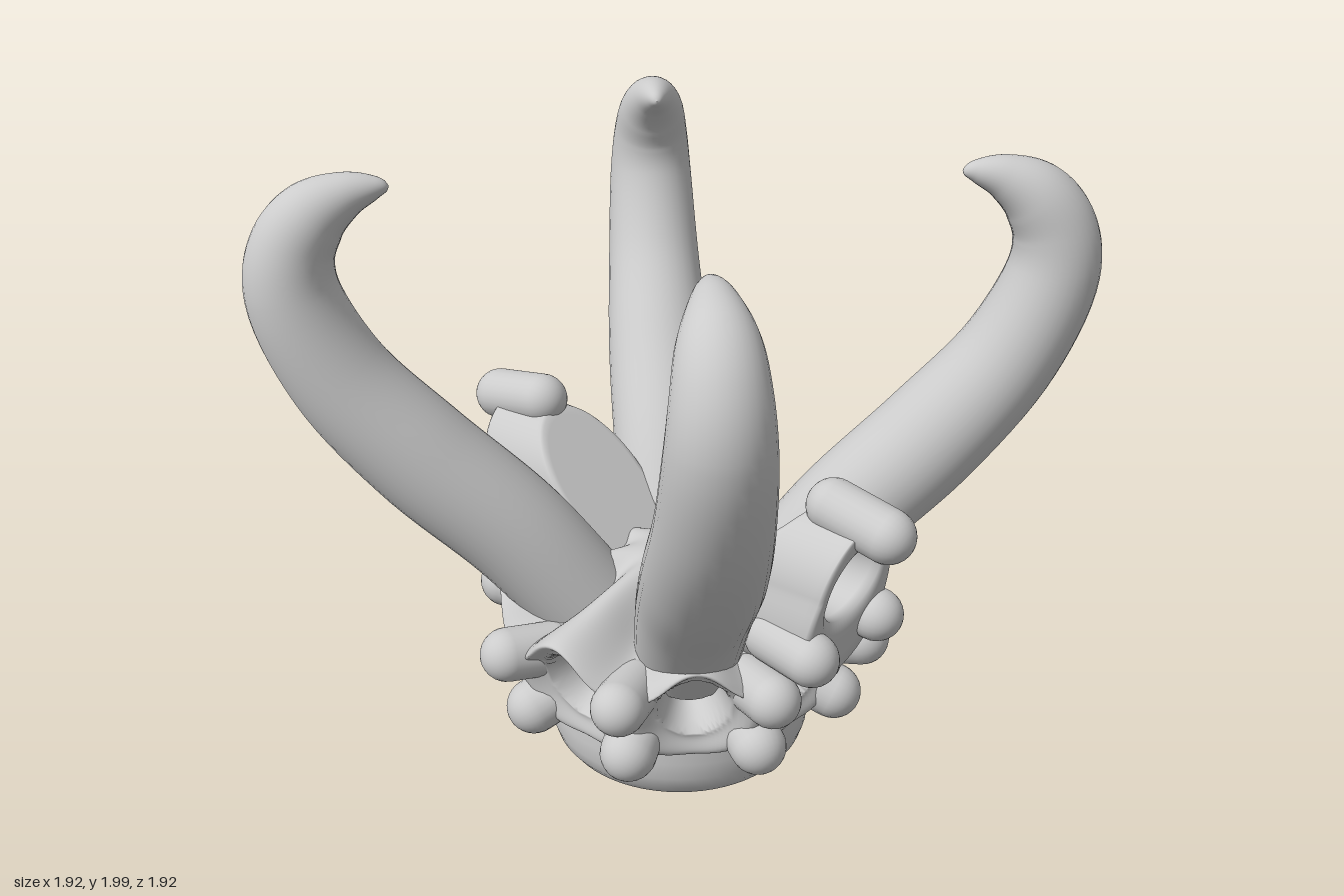
import * as THREE from 'three';

const mat = new THREE.MeshStandardMaterial({ color: 0xcccccc });
const step = THREE.MathUtils.smoothstep;

function mesh(name, geometry) {
  const m = new THREE.Mesh(geometry, mat);
  m.name = name;
  return m;
}

// Smooth surface closed around u; f(u, v) returns [x, y, z]
function loft(nu, nv, f) {
  const pos = [], idx = [];
  for (let j = 0; j <= nv; j++) {
    for (let i = 0; i < nu; i++) {
      pos.push(...f((i / nu) * Math.PI * 2, j / nv, j));
      if (j === nv) continue;
      const a = j * nu + i, b = j * nu + (i + 1) % nu;
      idx.push(a, b, a + nu, b, b + nu, a + nu);
    }
  }
  const g = new THREE.BufferGeometry();
  g.setAttribute('position', new THREE.Float32BufferAttribute(pos, 3));
  g.setIndex(idx);
  g.computeVertexNormals();
  return g;
}

// Round-ended knob between two points
function knob(name, from, to, r = 0.087) {
  const a = new THREE.Vector3(...from), b = new THREE.Vector3(...to);
  const m = mesh(name, new THREE.CapsuleGeometry(r, a.distanceTo(b), 8, 24));
  m.position.copy(a).lerp(b, 0.5);
  m.quaternion.setFromUnitVectors(new THREE.Vector3(0, 1, 0), b.sub(a).normalize());
  return m;
}

// Crown body: eight round sockets pressed into a flared wall with a scalloped rim
function crownGeometry() {
  const profile = new THREE.SplineCurve([
    [0.36, 0.2], [0.45, 0.215], [0.5, 0.25], [0.54, 0.33], [0.57, 0.42], [0.595, 0.51],
    [0.605, 0.57], [0.56, 0.61], [0.4, 0.65], [0.2, 0.71], [0, 0.73],
  ].map(p => new THREE.Vector2(...p)));
  const eighth = Math.PI / 4;
  return loft(256, 100, (a, v) => {
    let { x: r, y } = profile.getPoint(v);
    const off = a - Math.round(a / eighth) * eighth;
    const d = Math.hypot(r * off, y - 0.41);
    const depth = 0.05 * (1 - step(d, 0.13, 0.2)) + 0.14 * (1 - step(d, 0.1, 0.125));
    const rim = step(y, 0.45, 0.6) * step(r, 0.1, 0.4);
    const dip = (0.5 - 0.5 * Math.cos(8 * a)) * rim;
    const hood = Math.pow(Math.abs(Math.sin(a)), 16) * rim;
    r += 0.02 * hood - depth - 0.04 * dip;
    y += 0.02 * hood + 0.35 * depth - 0.1 * dip;
    return [Math.max(r, 0) * Math.sin(a), y, Math.max(r, 0) * Math.cos(a)];
  });
}

// Tusk in the xy plane: each point holds offset, height and radius
function tuskGeometry() {
  const path = new THREE.CatmullRomCurve3([
    [0.2, 0.5, 0.17], [0.37, 0.8, 0.178], [0.57, 1.08, 0.178], [0.735, 1.36, 0.16],
    [0.817, 1.63, 0.143], [0.808, 1.77, 0.128], [0.76, 1.87, 0.108], [0.69, 1.93, 0.07],
    [0.63, 1.95, 0.036], [0.606, 1.952, 0.015], [0.6, 1.953, 0],
  ].map(([x, y, r]) => new THREE.Vector3(x * Math.SQRT2, y, r)));
  return loft(32, 72, (a, v) => {
    const p = path.getPoint(v);
    const t = path.getTangent(v).setZ(0).normalize();
    const r = Math.max(p.z, 0), c = r * Math.cos(a);
    return [p.x + t.y * c, p.y - t.x * c, -r * Math.sin(a)];
  });
}

// Raised socket: arched tube, slanted behind and hollowed in front.
// Rows give position from face to back, blend from hole to outline, and scale.
function raisedSocketGeometry() {
  const rows = [
    [1, 1, 0], [1, 1, 0.9], [1, 1, 0.98], [0.96, 1, 1], [0.9, 1, 1], [0.1, 1, 1],
    [0.03, 1, 1], [0, 1, 0.98], [0, 0.75, 0.98], [0, 0.2, 1], [0.03, 0, 1], [0.1, 0, 0.96],
    [0.4, 0, 0.9], [0.44, 0, 0.86], [0.44, 0, 0.8], [0.44, 0, 0],
  ];
  return loft(64, rows.length - 1, (a, v, j) => {
    const [t, k, s] = rows[j];
    const c = Math.cos(a), n = Math.sin(a);
    const ox = 0.185 * c * (1 + 0.45 * Math.max(0, -n));
    const oy = (n > 0 ? 0.22 : 0.36) * n;
    const x = s * THREE.MathUtils.lerp(0.14 * c, ox, k);
    const y = 0.83 + s * THREE.MathUtils.lerp(0.135 * n, oy, k);
    const face = 0.7 + 0.22 * (y - 0.86), back = 0.37 + (y - 0.88);
    return [x, y, THREE.MathUtils.lerp(face, back, t)];
  });
}

export function createModel() {
  const model = new THREE.Group();

  // Rounded foot
  const foot = [[0, 0.006], [0.3, 0.004], [0.35, 0.006], [0.39, 0.022], [0.415, 0.055],
    [0.43, 0.1], [0.435, 0.16], [0.43, 0.25]].map(p => new THREE.Vector2(...p));
  model.add(mesh('foot', new THREE.LatheGeometry(foot, 64)));

  model.add(mesh('crown', crownGeometry()));

  // Two rows of knobs between the sockets
  for (let i = 0; i < 8; i++) {
    const a = (i + 0.5) * Math.PI / 4, s = Math.sin(a), c = Math.cos(a);
    model.add(knob('upperKnob', [0.46 * s, 0.46, 0.46 * c], [0.615 * s, 0.48, 0.615 * c]));
    model.add(knob('lowerKnob', [0.4 * s, 0.31, 0.4 * c], [0.53 * s, 0.26, 0.53 * c], 0.09));
  }

  // Four tusks on the diagonals
  const tusk = tuskGeometry();
  for (let i = 0; i < 4; i++) {
    const m = mesh('tusk', tusk);
    m.rotation.y = Math.PI / 4 + i * Math.PI / 2;
    model.add(m);
  }

  // Raised sockets with their knobs, front and back
  const socket = raisedSocketGeometry();
  for (const [name, turn] of [['frontRaisedSocket', 0], ['backRaisedSocket', Math.PI]]) {
    const g = new THREE.Group();
    g.name = name;
    g.add(mesh('socket', socket));
    g.add(knob('crestKnob', [0, 1.065, 0.6], [0, 1.03, 0.795], 0.085));
    for (const s of [-1, 1]) {
      g.add(knob('cheekKnob', [s * 0.16, 0.65, 0.5], [s * 0.172, 0.633, 0.66], 0.085));
    }
    g.rotation.y = turn;
    model.add(g);
  }
  return model;
}
